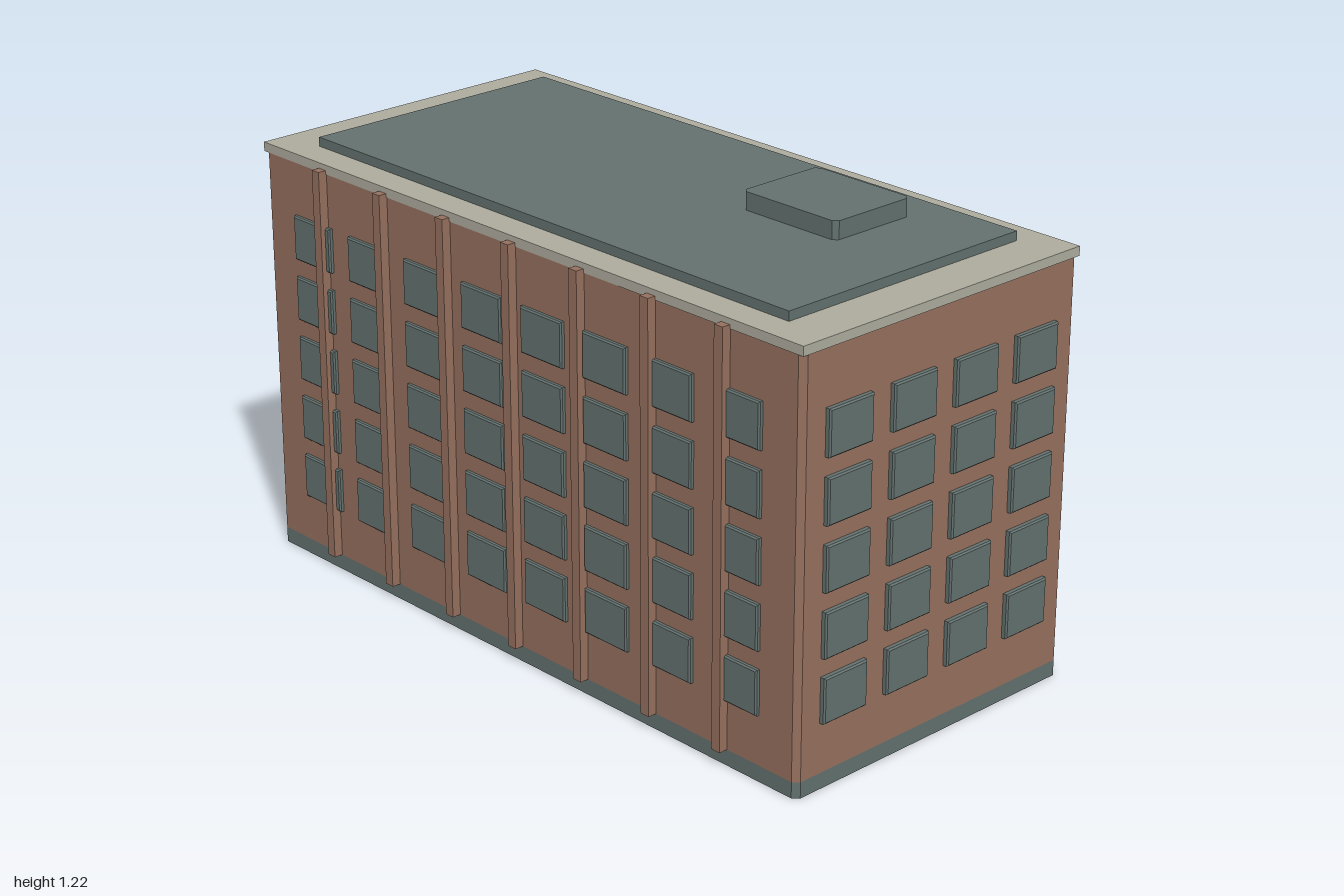
import * as THREE from 'three';

const mat = (name, color) => {
  const m = new THREE.MeshStandardMaterial({ color });
  m.name = name;
  return m;
};

export function createModel() {
  const brick = mat('brick', 0x95705e);
  const slate = mat('slate', 0x63716e);
  const stone = mat('stone', 0xaeac9e);
  const model = new THREE.Group();
  model.name = 'officeBuilding';

  const add = (name, geometry, material, parent = model) => {
    const mesh = new THREE.Mesh(geometry, material);
    mesh.name = name;
    parent.add(mesh);
    return mesh;
  };
  // Box given by its limits on each axis
  const box = (name, material, [x0, x1], [y0, y1], [z0, z1], parent) => {
    const mesh = add(name, new THREE.BoxGeometry(x1 - x0, y1 - y0, z1 - z0), material, parent);
    mesh.position.set((x0 + x1) / 2, (y0 + y1) / 2, (z0 + z1) / 2);
    return mesh;
  };
  // Upright block with its four vertical corners cut off
  const chamferedBlock = (name, material, [x0, x1], [y0, y1], [z0, z1], c) => {
    const points = [
      [x0 + c, z0], [x1 - c, z0], [x1, z0 + c], [x1, z1 - c],
      [x1 - c, z1], [x0 + c, z1], [x0, z1 - c], [x0, z0 + c],
    ].map(([x, z]) => new THREE.Vector2(x, -z));
    const g = new THREE.ExtrudeGeometry(new THREE.Shape(points), { depth: y1 - y0, bevelEnabled: false });
    g.rotateX(-Math.PI / 2);
    add(name, g, material).position.y = y0;
  };

  const FRONT = 0.508, BACK = -0.428, SIDE = 0.984;

  // Main volume, cornice and roof
  chamferedBlock('base', slate, [-SIDE, SIDE], [0, 0.043], [BACK, FRONT], 0.015);
  chamferedBlock('walls', brick, [-SIDE, SIDE], [0.043, 1.12], [BACK, FRONT], 0.015);
  box('cornice', stone, [-0.986, 0.986], [1.12, 1.145], [-0.43, 0.51]);
  box('roofDeck', slate, [-0.858, 0.858], [1.145, 1.17], [-0.348, 0.427]);
  chamferedBlock('roofHatch', slate, [0.295, 0.61], [1.17, 1.218], [-0.24, 0.02], 0.012);

  // Raised window with a thin bevelled rim, facing +z
  const windowGeometry = (w, h, depth) => {
    const b = 0.004;
    const x = w / 2 - b, y = h / 2 - b;
    const shape = new THREE.Shape([[-x, -y], [x, -y], [x, y], [-x, y]].map((p) => new THREE.Vector2(...p)));
    return new THREE.ExtrudeGeometry(shape, {
      depth: depth - b, bevelEnabled: true, bevelSize: b, bevelThickness: b, bevelSegments: 1,
    });
  };
  const longWindow = windowGeometry(0.15, 0.121, 0.012);
  const sideWindow = windowGeometry(0.145, 0.121, 0.015);

  const windows = new THREE.Group();
  windows.name = 'windows';
  model.add(windows);
  const placeWindow = (name, geometry, x, y, z, turn) => {
    const mesh = add(name, geometry, slate, windows);
    mesh.position.set(x, y, z);
    mesh.rotation.y = turn;
  };
  for (let row = 0; row < 5; row++) {
    const y = 0.237 + row * 0.1695;
    for (let col = 0; col < 8; col++) {
      const x = (col - 3.5) * 0.2243;
      placeWindow('frontWindow', longWindow, x, y, FRONT, 0);
      // The entrance takes the place of one ground-floor window
      if (row > 0 || col !== 3) placeWindow('backWindow', longWindow, x, y, BACK, Math.PI);
    }
    for (let col = 0; col < 4; col++) {
      const z = 0.36 - col * 0.213;
      placeWindow('leftWindow', sideWindow, SIDE, y, z, Math.PI / 2);
      placeWindow('rightWindow', sideWindow, -SIDE, y, z, -Math.PI / 2);
    }
  }

  // Brick pilasters on both long walls
  for (let i = -3; i <= 3; i++) {
    const x = i * 0.2465;
    const span = [x - 0.014, x + 0.014];
    box('frontPilaster', brick, span, [0.043, 1.13], [FRONT - 0.01, 0.533]);
    box('backPilaster', brick, span, [i === 0 ? 0.33 : 0.043, 1.13], [-0.452, BACK + 0.01]);
  }

  // Entrance at the back: steps, posts and a double door
  const entrance = new THREE.Group();
  entrance.name = 'entrance';
  model.add(entrance);
  const steps = [[0, 0.016, -0.533], [0.016, 0.03, -0.507], [0.03, 0.043, -0.48]];
  for (const [y0, y1, z] of steps) {
    box('step', stone, [-0.23, 0.102], [y0, y1], [z, BACK + 0.01], entrance);
  }
  for (const x of [-0.19, 0.062]) {
    box('doorPost', stone, [x - 0.014, x + 0.014], [0.043, 0.345], [-0.478, BACK + 0.01], entrance);
  }
  box('doorFrame', slate, [-0.176, 0.048], [0.043, 0.335], [-0.436, BACK + 0.01], entrance);
  for (const x of [-0.116, -0.012]) {
    box('doorLeaf', slate, [x - 0.046, x + 0.046], [0.043, 0.325], [-0.445, -0.43], entrance);
  }

  return model;
}
